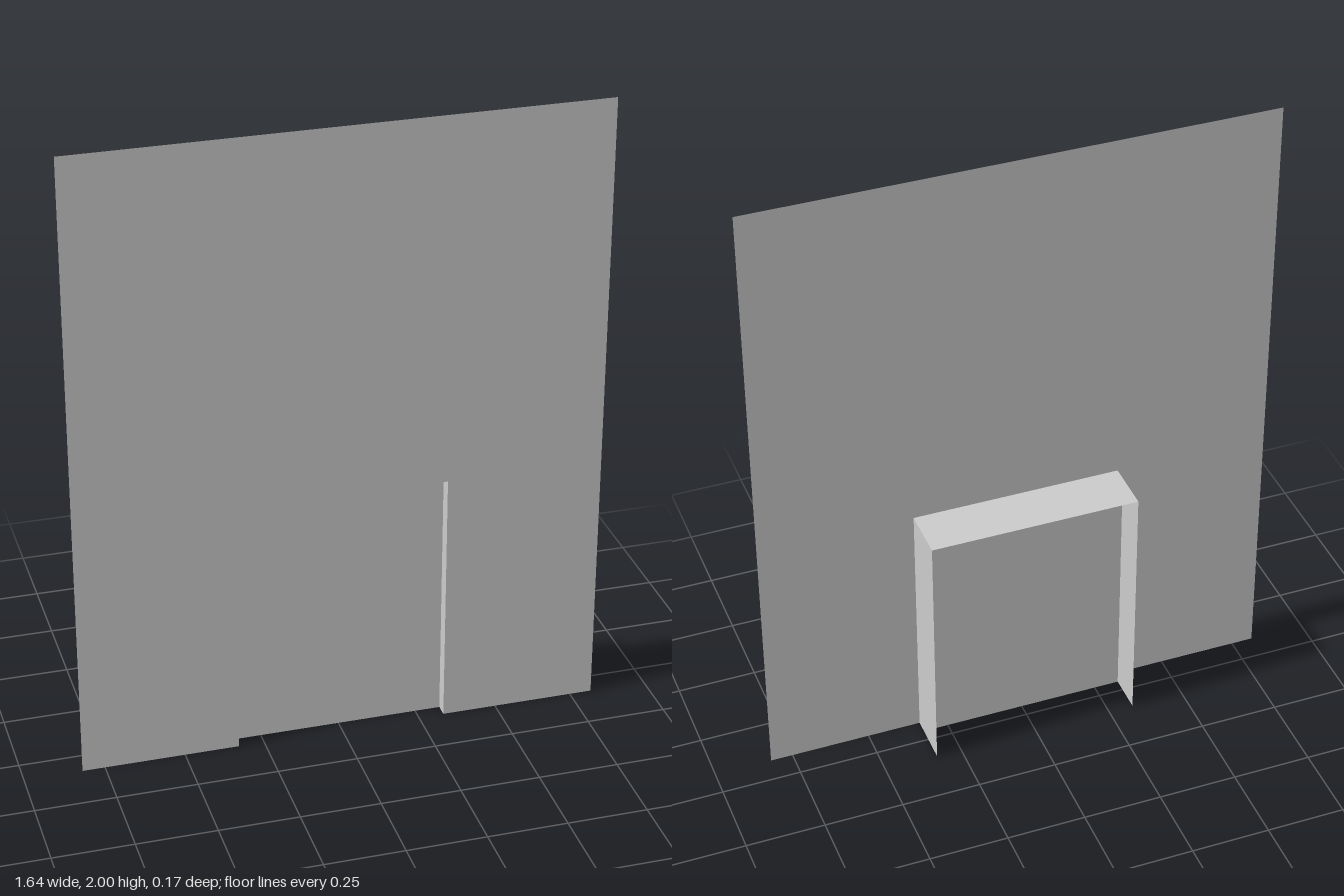
import * as THREE from 'three';

const WIDTH = 1.64, HEIGHT = 2;            // wall
const DOOR_W = 0.66, DOOR_H = 0.825;       // doorway
const FRONT = 0.083, DEPTH = 0.166;        // wall plane and depth of the frame
const PANEL_Z = FRONT - DEPTH / 4;         // door set a quarter of the way in

export function createModel() {
  const model = new THREE.Group();
  const material = new THREE.MeshStandardMaterial({
    color: 0xcccccc, flatShading: true, side: THREE.DoubleSide,
  });
  const add = (name, geometry, x, y, z) => {
    const mesh = new THREE.Mesh(geometry, material);
    mesh.name = name;
    mesh.position.set(x, y, z);
    model.add(mesh);
    return mesh;
  };

  // Thin wall with the doorway cut up from its bottom edge
  const w = WIDTH / 2, d = DOOR_W / 2;
  const outline = [
    [-w, 0], [-d, 0], [-d, DOOR_H], [d, DOOR_H], [d, 0], [w, 0], [w, HEIGHT], [-w, HEIGHT],
  ].map(([x, y]) => new THREE.Vector2(x, y));
  add('wall', new THREE.ShapeGeometry(new THREE.Shape(outline)), 0, 0, FRONT);

  // Frame running back from the doorway: two jambs and a lintel
  for (const [name, side] of [['leftJamb', 1], ['rightJamb', -1]]) {
    const jamb = add(name, new THREE.PlaneGeometry(DEPTH, DOOR_H), side * d, DOOR_H / 2, FRONT - DEPTH / 2);
    jamb.rotation.y = side * Math.PI / 2;
  }
  const lintel = add('lintel', new THREE.PlaneGeometry(DOOR_W, DEPTH), 0, DOOR_H, FRONT - DEPTH / 2);
  lintel.rotation.x = -Math.PI / 2;

  // Door panel recessed inside the frame
  add('doorPanel', new THREE.PlaneGeometry(DOOR_W, DOOR_H), 0, DOOR_H / 2, PANEL_Z);

  return model;
}
